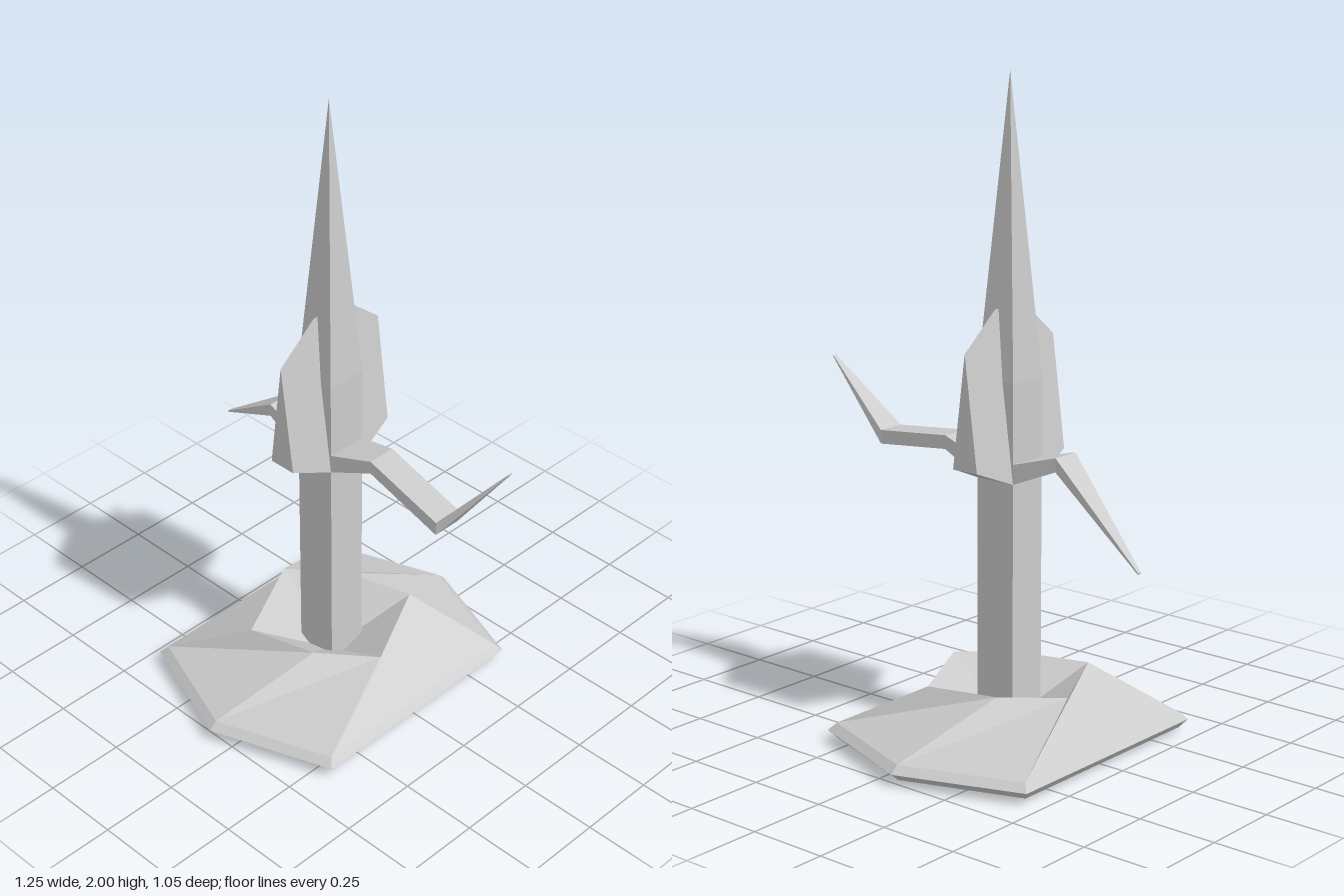
import * as THREE from 'three';

const material = new THREE.MeshStandardMaterial({ color: 0xcccccc, flatShading: true });

function addMesh(parent, name, geometry) {
  const mesh = new THREE.Mesh(geometry, material);
  mesh.name = name;
  parent.add(mesh);
  return mesh;
}

// Closed faceted solid through rings of [x, y, z] points, counter-clockwise about its axis
function loft(rings) {
  const pos = [];
  const tri = (a, b, c) => {
    const [A, B, C] = [a, b, c].map((p) => new THREE.Vector3(...p));
    if (B.sub(A).cross(C.sub(A)).length() > 1e-7) pos.push(...a, ...b, ...c);
  };
  const n = rings[0].length;
  for (let i = 0; i < rings.length - 1; i++) {
    for (let j = 0; j < n; j++) {
      const k = (j + 1) % n;
      tri(rings[i][j], rings[i][k], rings[i + 1][k]);
      tri(rings[i][j], rings[i + 1][k], rings[i + 1][j]);
    }
  }
  const first = rings[0], last = rings[rings.length - 1];
  for (let j = 1; j < n - 1; j++) {
    tri(first[0], first[j + 1], first[j]);
    tri(last[0], last[j], last[j + 1]);
  }
  const geometry = new THREE.BufferGeometry();
  geometry.setAttribute('position', new THREE.Float32BufferAttribute(pos, 3));
  geometry.computeVertexNormals();
  return geometry;
}

// Rectangular arm section at x
const section = (x, y0, y1, z0, z1) => [[x, y0, z0], [x, y1, z0], [x, y1, z1], [x, y0, z1]];

// Triangular fin section at z
const gable = (z, halfWidth, bottom, top) => [[-halfWidth, bottom, z], [halfWidth, bottom, z], [0, top, z]];

// Six points from three, the other three by a half turn
const halfTurn = (y, points) => [
  ...points.map(([x, z]) => [x, y, z]),
  ...points.map(([x, z]) => [-x, y, -z]),
];

export function createModel() {
  const model = new THREE.Group();
  const body = new THREE.Group();
  body.name = 'body';
  body.position.x = -0.07;
  model.add(body);

  // Six-sided base with a bevelled foot, twisted rim and hollow top
  const point = (y) => halfTurn(y, [[0, 0], [0, 0], [0, 0]]);
  const hexagon = (y, x, z, tip) => halfTurn(y, [[0, tip], [x, z], [x, -z]]);
  addMesh(body, 'base', loft([
    point(0),
    hexagon(0.012, 0.365, 0.365, 0.495),
    hexagon(0.037, 0.385, 0.385, 0.525),
    hexagon(0.06, 0.365, 0.367, 0.5),
    halfTurn(0.197, [[0.1, 0.177], [0.262, 0.048], [0.115, -0.237]]),
    point(0.05),
  ]));

  // Square post running up into a tall pointed spire
  const square = (y, x, z) => [[-x, y, z], [x, y, z], [x, y, -z], [-x, y, -z]];
  addMesh(body, 'postAndSpire', loft([
    square(0.05, 0.068, 0.066),
    square(1.11, 0.068, 0.066),
    square(2, 0, 0),
  ]));

  // Gabled fins at front and back
  for (const [name, angle] of [['frontFin', 0], ['backFin', Math.PI]]) {
    const fin = addMesh(body, name, loft([
      gable(0.04, 0.068, 0.81, 1.32),
      gable(0.066, 0.068, 0.81, 1.32),
      gable(0.2, 0.045, 0.865, 1.21),
    ]));
    fin.rotation.y = angle;
  }

  // Left arm, bent twice and raised at the tip
  addMesh(body, 'leftArm', loft([
    section(0.068, 0.81, 0.87, -0.066, 0.066),
    section(0.21, 0.868, 0.91, -0.047, 0.045),
    section(0.51, 0.827, 0.87, -0.004, 0.087),
    section(0.69, 1.078, 1.083, -0.022, -0.01),
  ]));

  // Right arm, bent once and tapering downward
  addMesh(body, 'rightArm', loft([
    section(-0.555, 0.645, 0.65, -0.108, -0.095),
    section(-0.21, 0.868, 0.91, -0.047, 0.045),
    section(-0.068, 0.81, 0.87, -0.066, 0.066),
  ]));

  return model;
}
